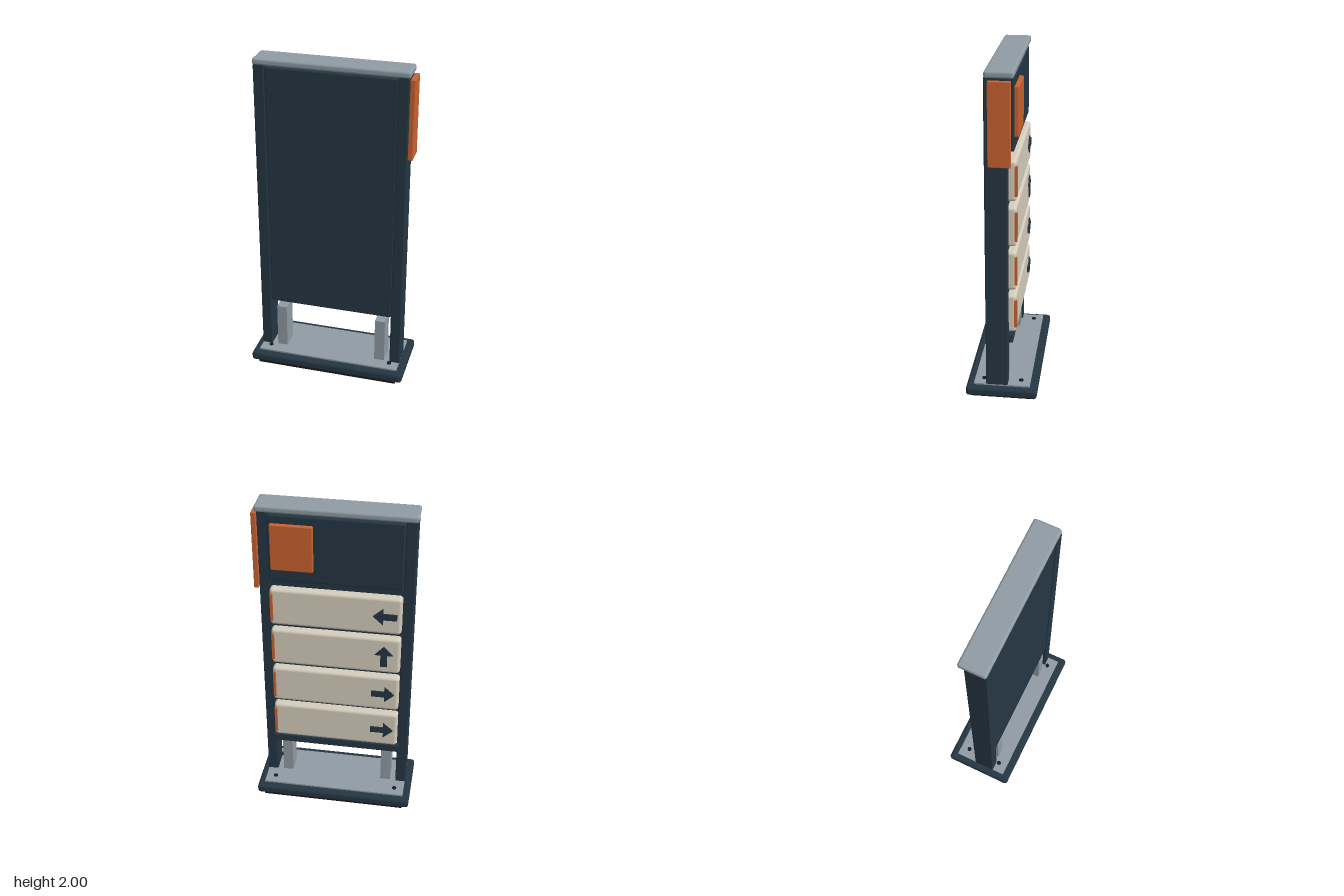
import * as THREE from 'three';
import { RoundedBoxGeometry } from 'three/addons/geometries/RoundedBoxGeometry.js';

const material = (name, color) => {
  const m = new THREE.MeshStandardMaterial({ color });
  m.name = name;
  return m;
};

export function createModel() {
  const navy = material('navy', 0x243642);
  const grey = material('grey', 0x8f9ba3);
  const cream = material('cream', 0xd4cdbc);
  const orange = material('orange', 0xc8622f);
  const rubber = material('rubber', 0x19181d);

  const model = new THREE.Group();
  model.name = 'directorySign';

  const add = (name, geometry, mat, x = 0, y = 0, z = 0) => {
    const mesh = new THREE.Mesh(geometry, mat);
    mesh.name = name;
    mesh.position.set(x, y, z);
    model.add(mesh);
    return mesh;
  };
  // Box given by its limits on each axis, with an optional rounded edge
  const box = (name, mat, [x0, x1], [y0, y1], [z0, z1], r = 0) => {
    const size = [x1 - x0, y1 - y0, z1 - z0];
    const geometry = r ? new RoundedBoxGeometry(...size, 3, r) : new THREE.BoxGeometry(...size);
    return add(name, geometry, mat, (x0 + x1) / 2, (y0 + y1) / 2, (z0 + z1) / 2);
  };

  // Base
  box('rubberFoot', rubber, [-0.445, 0.445], [0, 0.03], [-0.19, 0.19]);
  box('base', navy, [-0.488, 0.488], [0.022, 0.08], [-0.213, 0.213], 0.018);
  box('basePlate', grey, [-0.447, 0.447], [0.075, 0.09], [-0.168, 0.168]);
  for (const x of [-0.388, 0.388]) {
    for (const z of [-0.111, 0.111]) {
      add('bolt', new THREE.CylinderGeometry(0.013, 0.013, 0.012, 20), rubber, x, 0.091, z);
    }
  }

  // Posts and short support legs
  for (const s of [-1, 1]) {
    const span = (a, b) => (s > 0 ? [a, b] : [-b, -a]);
    box('post', navy, span(0.386, 0.45), [0.088, 1.966], [-0.036, 0.094], 0.006);
    box('supportLeg', grey, span(0.287, 0.35), [0.088, 0.375], [-0.029, 0.088]);
  }

  // Main panel, lower rail, header and cap
  box('mainPanel', navy, [-0.386, 0.386], [0.414, 1.953], [-0.03, 0.088], 0.008);
  box('lowerRail', navy, [-0.4, 0.4], [0.352, 0.402], [-0.062, -0.03], 0.004);
  box('header', navy, [-0.386, 0.386], [1.535, 1.95], [-0.066, -0.01], 0.01);
  box('cap', grey, [-0.456, 0.456], [1.96, 2], [-0.071, 0.092], 0.014);

  // Orange side tab and header square
  box('sideTab', orange, [0.449, 0.478], [1.472, 1.95], [-0.056, 0.07], 0.004);
  box('headerSquare', orange, [0.125, 0.37], [1.615, 1.9], [-0.09, -0.06], 0.007);

  // Arrow outline pointing up, centred on its middle
  const arrow = new THREE.Shape([
    [-0.02, -0.07], [0.02, -0.07], [0.02, 0.01], [0.055, 0.01],
    [0, 0.07], [-0.055, 0.01], [-0.02, 0.01],
  ].map(([x, y]) => new THREE.Vector2(x, y)));
  const arrowGeometry = new THREE.ExtrudeGeometry(arrow, { depth: 0.009, bevelEnabled: false });

  // Direction slats on the back, from top to bottom
  const turns = [-Math.PI / 2, 0, Math.PI / 2, Math.PI / 2];
  turns.forEach((turn, i) => {
    const y = 1.362 - i * 0.2755;
    box('slat', cream, [-0.386, 0.386], [y - 0.121, y + 0.121], [-0.079, 0], 0.02);
    box('slatStrip', orange, [0.366, 0.384], [y - 0.09, y + 0.09], [-0.085, -0.06], 0.003);
    add('arrow', arrowGeometry, navy, -0.29, y, -0.087).rotation.z = turn;
  });

  return model;
}
